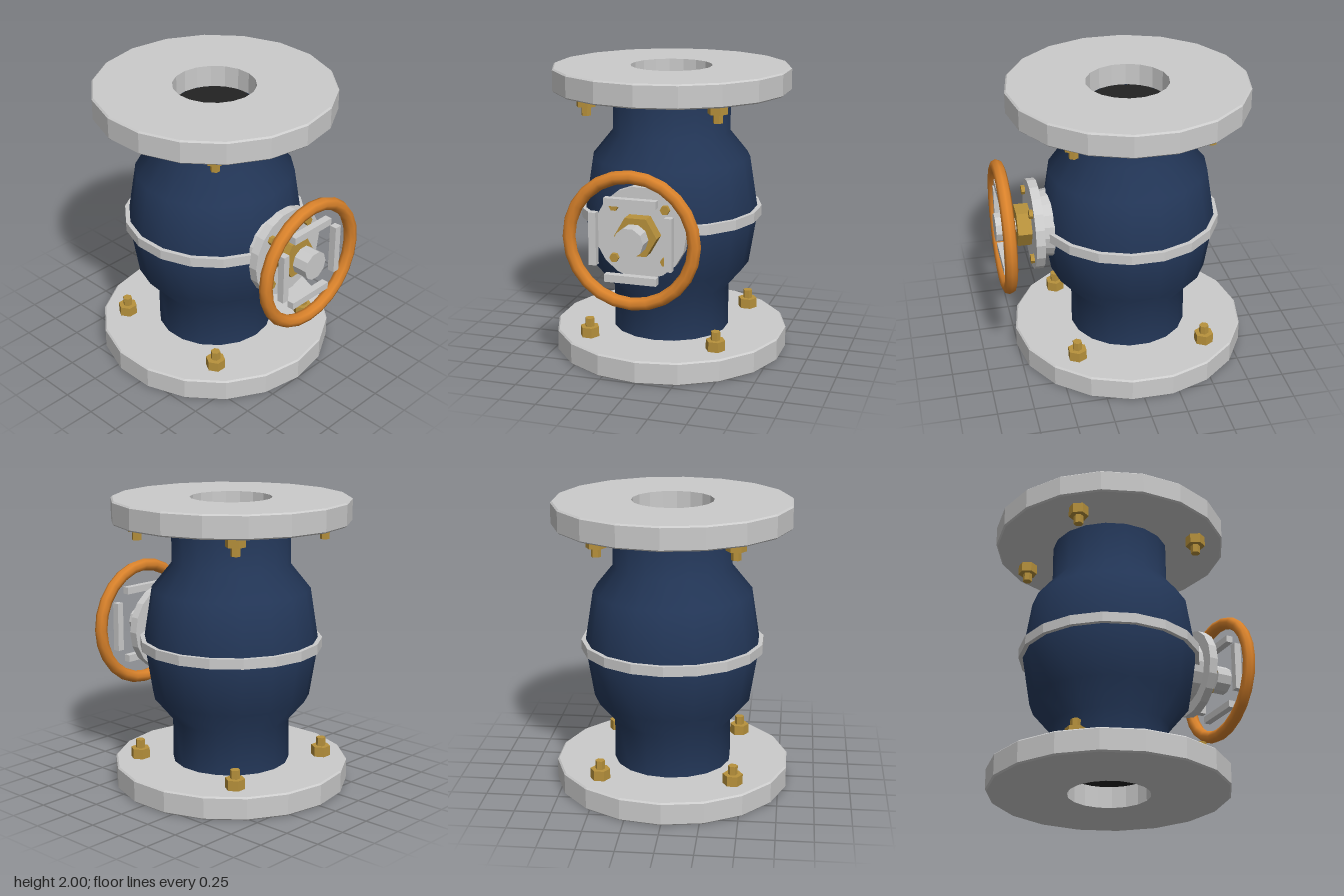
import * as THREE from 'three';

const CX = -0.057; // pipe axis
const SIDES = 18;

const mat = (color, flatShading = true) => new THREE.MeshStandardMaterial({ color, flatShading });

export function createModel() {
  const root = new THREE.Group();
  const grey = mat(0xcccccc), gold = mat(0xb8923c), dark = mat(0x222222);
  const blue = mat(0x24385a, false), orange = mat(0xd9822b, false);

  const add = (name, geometry, material, x, y, z, parent = root) => {
    const mesh = new THREE.Mesh(geometry, material);
    mesh.name = name;
    mesh.position.set(x, y, z);
    parent.add(mesh);
    return mesh;
  };
  // Revolved profile with a corner on the x axis
  const lathe = (points) => new THREE.LatheGeometry(
    points.map(([r, y]) => new THREE.Vector2(r, y)), SIDES, Math.PI / 2);
  // Cylinder lying along x, between x0 and x1
  const alongX = (name, r0, r1, x0, x1, sides, material, y = 1, z = 0) => {
    const g = new THREE.CylinderGeometry(r1, r0, x1 - x0, sides).rotateZ(-Math.PI / 2);
    return add(name, g, material, (x0 + x1) / 2, y, z);
  };

  // Bulged body, closed at both necks
  add('body', lathe([
    [0, 0.155], [0.407, 0.155], [0.407, 0.155], [0.407, 0.46], [0.545, 0.625], [0.605, 1],
    [0.545, 1.38], [0.407, 1.55], [0.407, 1.85], [0.407, 1.85], [0, 1.85],
  ]), blue, CX, 0, 0);

  // Band round the waist
  add('waistBand', lathe([
    [0.56, 0.967], [0.63, 0.967], [0.63, 1.035], [0.56, 1.035],
  ]), grey, CX, 0, 0);

  // Pipe flanges with bevelled rims, dark bores, and nuts with studs
  const flangeShape = lathe([
    [0.28, 0], [0.805, 0], [0.816, 0.01], [0.816, 0.15], [0.805, 0.16], [0.28, 0.16], [0.28, 0],
  ]);
  const boreShape = new THREE.CylinderGeometry(0.275, 0.275, 0.01, 24);
  const nutShape = new THREE.CylinderGeometry(0.0675, 0.0675, 0.07, 6);
  const studShape = new THREE.CylinderGeometry(0.033, 0.033, 0.13, 6);
  for (const [end, base, dir] of [['bottom', 0, 1], ['top', 2, -1]]) {
    add(end + 'Flange', flangeShape, grey, CX, dir > 0 ? 0 : 1.84, 0);
    add(end + 'Bore', boreShape, dark, CX, base + dir * 0.153, 0);
    for (const sx of [-1, 1]) for (const sz of [-1, 1]) {
      const x = CX + sx * 0.452, z = sz * 0.45;
      add(end + 'Nut', nutShape, gold, x, base + dir * 0.195, z);
      add(end + 'Stud', studShape, gold, x, base + dir * 0.225, z);
    }
  }

  // Side bonnet, its cover and gland nut
  alongX('bonnetNeck', 0.24, 0.225, 0.46, 0.575, SIDES, grey);
  alongX('bonnetCover', 0.312, 0.312, 0.568, 0.63, SIDES, grey);
  alongX('glandNut', 0.144, 0.144, 0.625, 0.727, 6, gold);
  for (const sy of [-1, 1]) for (const sz of [-1, 1])
    alongX('coverBolt', 0.032, 0.032, 0.62, 0.656, 6, gold, 1 + sy * 0.174, sz * 0.174);

  // Stem and hub
  alongX('stem', 0.05, 0.05, 0.72, 0.77, 10, grey);
  alongX('hub', 0.1, 0.1, 0.76, 0.87, 10, grey);

  // Handwheel: rim and four bars set in a square
  const wheel = new THREE.Group();
  wheel.name = 'handwheel';
  wheel.position.set(0.816, 1, 0);
  root.add(wheel);
  add('rim', new THREE.TorusGeometry(0.42, 0.044, 8, 24).rotateY(Math.PI / 2), orange, 0, 0, 0, wheel);
  for (const s of [-1, 1]) {
    add('bar', new THREE.BoxGeometry(0.05, 0.05, 0.35), grey, 0, s * 0.253, 0, wheel);
    add('bar', new THREE.BoxGeometry(0.05, 0.35, 0.05), grey, 0, 0, s * 0.253, wheel);
  }
  return root;
}
